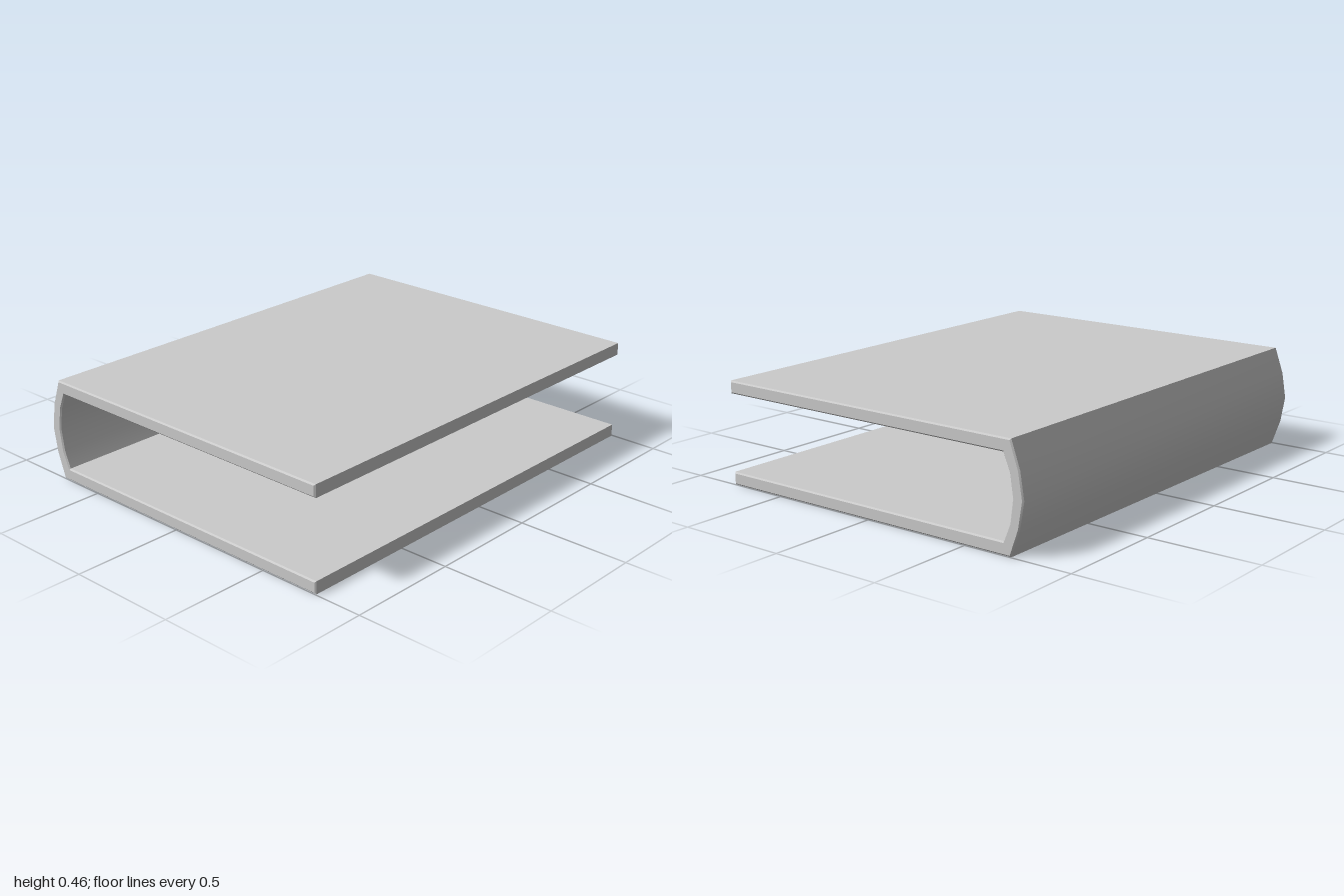
import * as THREE from 'three';
import { toCreasedNormals } from 'three/addons/utils/BufferGeometryUtils.js';

const HEIGHT = 0.458, LENGTH = 2, EDGE = 0.78, BEVEL = 0.006;

// Mirrors the lower half of a profile about mid height
function mirrored(half) {
  const upper = half.slice(0, -1).reverse().map(([x, y]) => [x, HEIGHT - y]);
  return [...half, ...upper];
}

export function createModel() {
  const group = new THREE.Group();
  group.name = 'bookCover';

  // Each run goes along the lower board, around the bowed spine and back along the upper board
  const outer = mirrored([[EDGE, 0], [-0.722, 0], [-0.763, 0.115], [-0.782, HEIGHT / 2]]);
  const inner = mirrored([[EDGE, 0.056], [-0.685, 0.056], [-0.716, 0.131], [-0.73, HEIGHT / 2]]);
  const outline = [...outer, ...inner.reverse()].map(([x, y]) => new THREE.Vector2(x, y));

  // Boards and spine as one folded sheet with slightly softened ends
  const geometry = new THREE.ExtrudeGeometry(new THREE.Shape(outline), {
    depth: LENGTH - 2 * BEVEL,
    bevelEnabled: true,
    bevelThickness: BEVEL,
    bevelSize: BEVEL,
    bevelOffset: -BEVEL,
    bevelSegments: 1,
  });
  geometry.translate(0, 0, -LENGTH / 2 + BEVEL);

  const cover = new THREE.Mesh(
    toCreasedNormals(geometry, 0.5),
    new THREE.MeshStandardMaterial({ color: 0xcccccc })
  );
  cover.name = 'boardsAndSpine';
  group.add(cover);
  return group;
}
